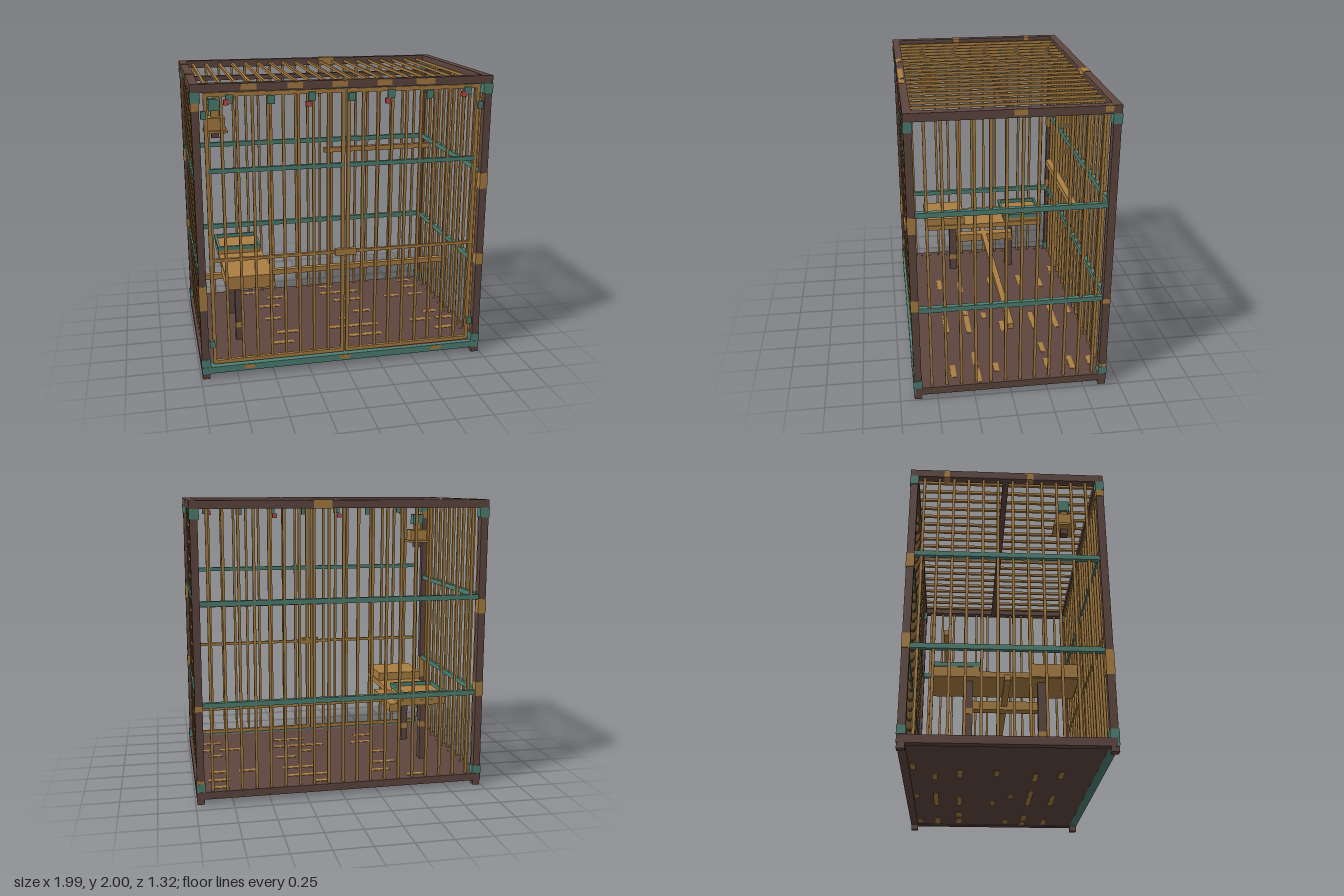
import * as THREE from 'three';

export function createModel() {
  const model = new THREE.Group();
  model.name = 'birdCage';
  const material = (name, color) => {
    const m = new THREE.MeshStandardMaterial({ color });
    m.name = name;
    return m;
  };
  const brown = material('darkWood', 0x5e463f);
  const tan = material('lightWood', 0xa97e42);
  const teal = material('tealPaint', 0x4e8073);
  const red = material('redPaint', 0xbc4b4b);

  // Box given by its limits on each axis
  const box = (name, mat, x0, x1, y0, y1, z0, z1) => {
    const mesh = new THREE.Mesh(new THREE.BoxGeometry(x1 - x0, y1 - y0, z1 - z0), mat);
    mesh.position.set((x0 + x1) / 2, (y0 + y1) / 2, (z0 + z1) / 2);
    mesh.name = name;
    model.add(mesh);
  };
  // Box given by its centre and size
  const block = (name, mat, x, y, z, w, h, d) =>
    box(name, mat, x - w / 2, x + w / 2, y - h / 2, y + h / 2, z - d / 2, z + d / 2);

  const X = 0.965, Z = 0.63, B = 0.018;

  // Floor, with worn patches on both faces: [x, z, width]
  box('floor', brown, -X, X, 0.04, 0.085, -Z, Z);
  const wear = [
    [-0.53, -0.58, 0.12], [0.13, -0.58, 0.1], [0.82, -0.58, 0.1],
    [-0.32, -0.445, 0.13], [0.14, -0.445, 0.18], [0.3, -0.445, 0.14], [0.83, -0.445, 0.15],
    [-0.39, -0.28, 0.16], [0.25, -0.28, 0.23], [0.62, -0.28, 0.12], [0.82, -0.28, 0.12],
    [-0.4, -0.04, 0.12], [0.3, -0.04, 0.14], [0.13, 0.08, 0.08], [0.82, 0.08, 0.1],
    [-0.33, 0.215, 0.16], [0.04, 0.215, 0.14], [0.24, 0.215, 0.24], [0.7, 0.215, 0.16], [0.9, 0.215, 0.15],
    [-0.39, 0.38, 0.15], [0.22, 0.38, 0.24], [0.83, 0.38, 0.14],
  ];
  for (const [x, z, w] of wear) {
    block('floorWear', tan, x, 0.086, z, w, 0.004, 0.036);
    block('undersideWear', tan, x, 0.039, z, w, 0.004, 0.036);
  }

  // Corner posts with teal brackets
  for (const sx of [-1, 1]) for (const sz of [-1, 1]) {
    block('cornerPost', brown, sx * X, 0.98, sz * Z, 0.05, 1.96, 0.05);
    block('topBracket', teal, sx * 0.963, 1.913, sz * Z, 0.064, 0.066, 0.058);
    block('bottomBracket', teal, sx * 0.963, 0.115, sz * Z, 0.064, 0.055, 0.058);
  }

  // Top and bottom frames
  for (const s of [-1, 1]) {
    box('topLongBeam', brown, -0.993, 0.993, 1.945, 1.998, s * Z - 0.026, s * Z + 0.026);
    block('topSideBeam', brown, s * X, 1.9715, 0, 0.056, 0.053, 1.26);
    block('bottomSideBeam', brown, s * X, 0.06, 0, 0.056, 0.052, 1.29);
  }
  block('bottomFrontBeam', teal, 0, 0.062, Z, 1.985, 0.046, 0.056);
  block('bottomBackBeam', brown, 0, 0.06, -Z, 1.985, 0.05, 0.054);
  block('roofCrossBeam', brown, 0, 1.945, -0.01, 1.9, 0.03, 0.04);

  // Roof bars and back bars
  for (let i = 0; i < 19; i++) {
    const x = -0.89 + i * 0.0986;
    block('roofBar', tan, x, 1.97, 0, B, B, 1.22);
    block('backBar', tan, x, 1.015, -Z, B, 1.87, B);
  }
  // Side bars and rails
  for (const s of [-1, 1]) {
    for (let i = 0; i < 12; i++)
      block('sideBar', tan, s * X, 1.015, 0.535 - i * 0.0995, B, 1.87, B);
    for (const y of [0.672, 1.342]) block('sideRail', teal, s * X, y, 0, 0.032, 0.034, 1.21);
  }
  for (const y of [0.672, 1.342]) block('backRail', teal, 0, y, -Z, 1.88, 0.034, 0.032);

  // Pair of front doors
  for (const s of [-1, 1]) {
    for (const x of [0.018, 0.9]) block('doorStile', tan, s * x, 1.02, Z, 0.024, 1.84, 0.024);
    for (const y of [0.112, 1.928]) block('doorRail', tan, s * 0.459, y, Z, 0.9, 0.026, 0.024);
    block('doorMiddleRail', tan, s * 0.459, 0.838, Z, 0.88, 0.02, 0.022);
    block('doorTealRail', teal, s * 0.459, 1.44, Z, 0.88, 0.028, 0.026);
    for (let i = 1; i < 9; i++)
      block('doorBar', tan, s * (0.018 + i * 0.098), 1.02, Z, B, 1.82, B);
    for (const y of [0.25, 1.803]) block('hinge', teal, s * 0.915, y, 0.638, 0.034, 0.05, 0.036);
  }
  block('latch', tan, 0, 0.84, 0.64, 0.145, 0.046, 0.03);

  // Small tags along the front top beam
  for (let i = 0; i < 7; i++)
    block('tealTag', teal, -0.75 + i * 0.262, i % 2 ? 1.888 : 1.9, 0.645, 0.046, 0.055, 0.022);
  [[-0.77, 1.88], [-0.25, 1.852], [0.275, 1.855], [0.795, 1.882]].forEach(([x, y]) =>
    block('redTag', red, x, y, 0.646, 0.034, 0.034, 0.024));

  // Perches
  block('longPerch', tan, 0, 0.486, 0, 1.88, 0.038, 0.04);
  box('highPerch', tan, 0.08, 0.94, 1.29, 1.327, -0.425, -0.385);

  // Resting table: legs, shelf, step, solid box and rimmed tray
  for (const z of [0.235, -0.24]) {
    box('tableLeg', brown, -0.715, -0.665, 0.085, 0.56, z - 0.03, z + 0.03);
    block('legWear', tan, -0.69, z > 0 ? 0.2 : 0.35, z, 0.054, 0.04, 0.064);
  }
  box('shelf', tan, -0.785, -0.455, 0.555, 0.592, -0.475, 0.465);
  box('step', tan, -0.51, -0.445, 0.445, 0.505, -0.23, 0.225);
  box('restingBox', tan, -0.795, -0.465, 0.56, 0.65, 0.155, 0.47);
  box('trayBase', tan, -0.785, -0.47, 0.592, 0.625, -0.472, -0.17);
  for (const z of [-0.478, -0.18]) box('trayRim', teal, -0.79, -0.463, 0.622, 0.652, z, z + 0.018);
  for (const x of [-0.79, -0.481]) box('trayRim', teal, x, x + 0.018, 0.622, 0.652, -0.478, -0.162);

  // Hanging feeder
  box('feederCap', teal, -0.865, -0.785, 1.79, 1.866, 0.36, 0.432);
  box('feederCapInlay', tan, -0.84, -0.81, 1.862, 1.869, 0.381, 0.411);
  box('feederNeck', tan, -0.85, -0.8, 1.74, 1.79, 0.372, 0.42);
  box('feederBody', tan, -0.888, -0.762, 1.665, 1.747, 0.34, 0.456);
  box('feederPlate', tan, -0.9, -0.748, 1.65, 1.666, 0.322, 0.472);
  box('feederFoot', brown, -0.85, -0.8, 1.61, 1.65, 0.372, 0.42);

  // Worn patches on the top beams
  [[-0.63, 0.1], [-0.335, 0.1], [-0.045, 0.1], [0.25, 0.1], [0.525, 0.13]].forEach(([x, w]) =>
    block('frontBeamWear', tan, x, 1.974, 0.656, w, 0.036, 0.004));
  [[-0.29, 0.09], [0.08, 0.26], [0.285, 0.09]].forEach(([x, w]) =>
    block('topBeamWear', tan, x, 1.998, 0.635, w, 0.004, 0.036));
  block('backBeamWear', tan, 0.14, 1.972, -Z, 0.12, 0.057, 0.056);
  [[-0.41, 0.035], [0.155, 0.045]].forEach(([z, d]) =>
    block('sideBeamWear', tan, -X, 1.972, z, 0.06, 0.057, d));
  [[-0.04, 0.08], [-0.575, 0.05]].forEach(([z, d]) =>
    block('sideBeamWear', tan, 0.993, 1.978, z, 0.004, 0.036, d));
  for (const x of [-0.67, 0, 0.665])
    block('bottomBeamWear', tan, x, 0.067, 0.658, 0.075, 0.028, 0.005);

  // Worn patches on the posts: [x sign, z sign, y, height]
  [[1, 1, 1.28, 0.11], [1, 1, 0.715, 0.08], [-1, 1, 0.585, 0.17], [-1, 1, 1.855, 0.05],
    [1, -1, 0.655, 0.035], [1, -1, 0.15, 0.03], [-1, -1, 1.28, 0.1], [-1, -1, 0.7, 0.1]]
    .forEach(([sx, sz, y, h]) =>
      block('postWear', tan, sx * X, y, sz * Z, 0.055, h, 0.055));

  return model;
}
